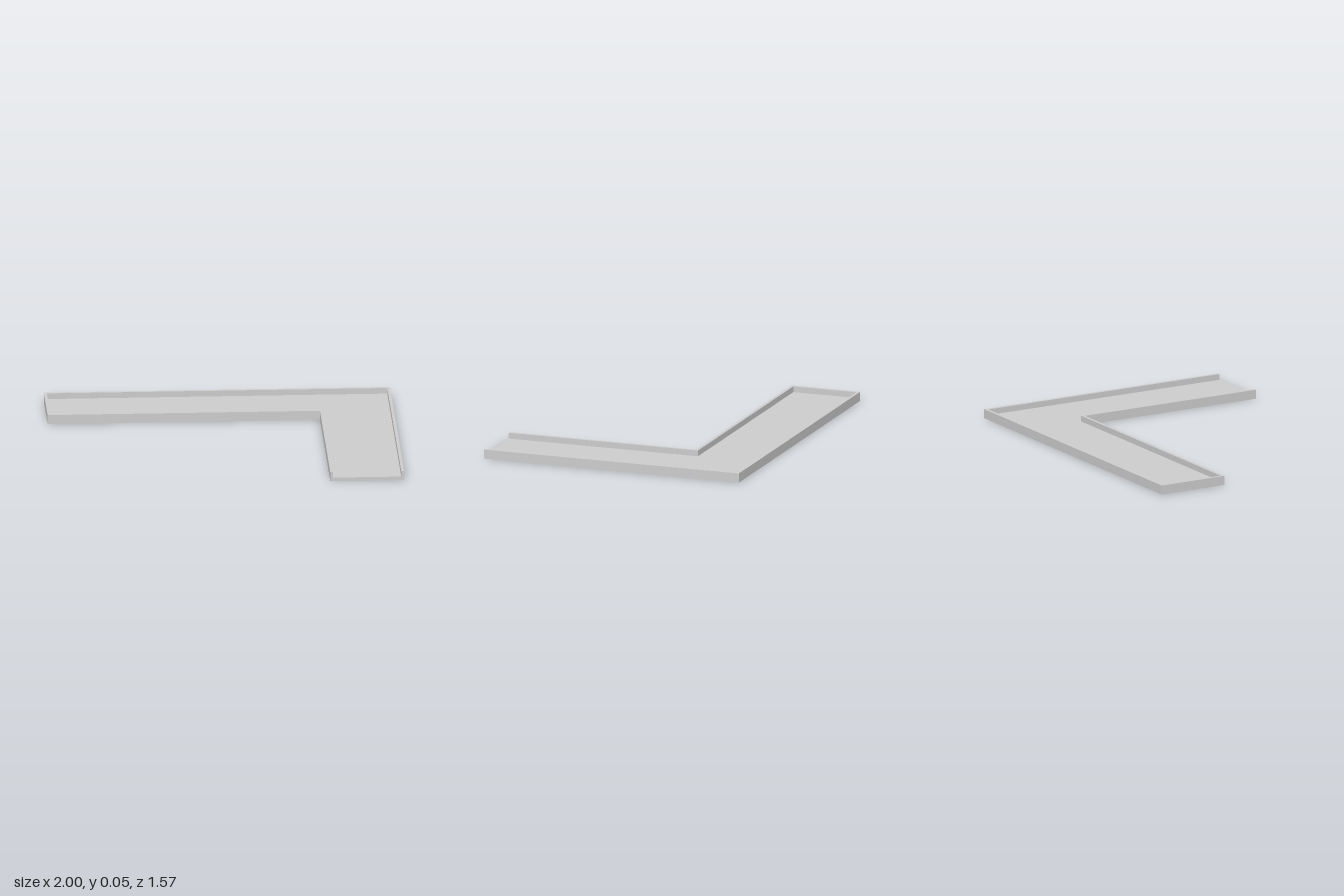
import * as THREE from 'three';

const W = 1, D = 0.785;          // half width and half depth
const INNER_X = 0.573, INNER_Z = -0.363; // inside corner of the L
const T = 0.017;                 // wall thickness
const WALL_H = 0.054, FLOOR_H = 0.02;

// Corners of the L in plan as [x, z], from the open end round to the open end,
// moved inward by the given inset
function plan(inset) {
  return [
    [W - inset, D],
    [W - inset, -D + inset],
    [-W + inset, -D + inset],
    [-W + inset, INNER_Z - inset],
    [INNER_X + inset, INNER_Z - inset],
    [INNER_X + inset, D],
  ];
}

// Upright prism standing on y = 0
function prism(name, points, height, material) {
  const shape = new THREE.Shape(points.map(([x, z]) => new THREE.Vector2(x, -z)));
  const geometry = new THREE.ExtrudeGeometry(shape, { depth: height, bevelEnabled: false });
  geometry.rotateX(-Math.PI / 2);
  const mesh = new THREE.Mesh(geometry, material);
  mesh.name = name;
  return mesh;
}

export function createModel() {
  const model = new THREE.Group();
  model.name = 'cornerTray';
  const material = new THREE.MeshStandardMaterial({ color: 0xcccccc });

  // Floor fitted between the walls
  model.add(prism('floor', plan(T), FLOOR_H, material));
  // Continuous rim wall, open at the front end of the short leg
  model.add(prism('rimWall', [...plan(0), ...plan(T).reverse()], WALL_H, material));
  return model;
}
